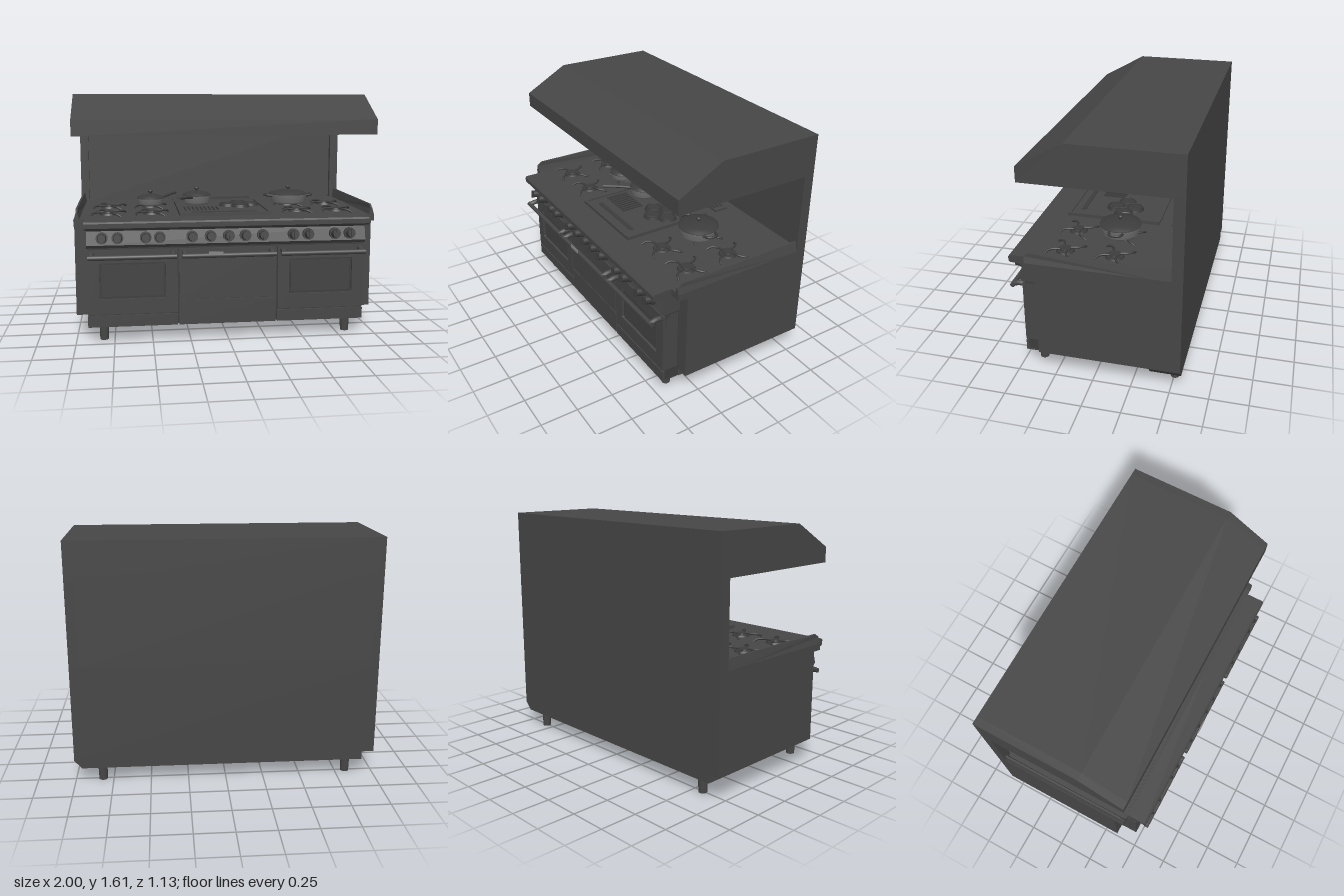
import * as THREE from 'three';

export function createModel() {
  const root = new THREE.Group();
  root.name = 'rangeCookerWithHood';
  const mat = (name, color) => {
    const m = new THREE.MeshStandardMaterial({ color });
    m.name = name;
    return m;
  };
  const enamel = mat('charcoal enamel', 0x464646);
  const iron = mat('dark iron', 0x3c3c3c);
  const glass = mat('oven glass', 0x424242);
  const steel = mat('pan steel', 0x707070);
  const pale = mat('pale steel', 0x858585);

  const add = (name, geo, m, x = 0, y = 0, z = 0, parent = root) => {
    const mesh = new THREE.Mesh(geo, m);
    mesh.name = name;
    mesh.position.set(x, y, z);
    parent.add(mesh);
    return mesh;
  };
  // Box given by its limits on each axis
  const box = (name, x0, x1, y0, y1, z0, z1, m = enamel, parent = root) =>
    add(name, new THREE.BoxGeometry(x1 - x0, y1 - y0, z1 - z0), m,
      (x0 + x1) / 2, (y0 + y1) / 2, (z0 + z1) / 2, parent);
  const cyl = (r0, r1, h, n = 20) => new THREE.CylinderGeometry(r0, r1, h, n);
  // Side profile of [z, y] points, stretched from x0 to x1
  const profile = (pts, x0, x1) => {
    const shape = new THREE.Shape(pts.map(p => new THREE.Vector2(...p)));
    const g = new THREE.ExtrudeGeometry(shape, { depth: x1 - x0, bevelEnabled: false });
    return g.rotateY(-Math.PI / 2).translate(x1, 0, 0);
  };
  const tube = (pts, r, n = 10) => new THREE.TubeGeometry(
    new THREE.CatmullRomCurve3(pts.map(p => new THREE.Vector3(...p))), n, r, 8);

  // Main cabinet, base and deck
  box('cabinet', -1, 1, 0.16, 0.78, -0.565, 0.355);
  box('base', -0.92, 0.92, 0.105, 0.16, -0.565, 0.355);
  box('deck', -1, 1, 0.765, 0.81, -0.565, 0.42);
  const wedge = new THREE.Shape([[0.92, 0.105], [0.95, 0.105], [1, 0.16], [0.92, 0.16]]
    .map(p => new THREE.Vector2(...p)));
  add('rearCornerWedge', new THREE.ExtrudeGeometry(wedge, { depth: 0.2, bevelEnabled: false }),
    enamel, 0, 0, -0.565);

  // Legs
  for (const x of [-0.82, 0.82]) for (const z of [0.385, -0.505])
    add('leg', cyl(0.031, 0.028, 0.11), enamel, x, 0.055, z);

  // Raised side guards, narrowing towards the top edge
  for (const s of [-1, 1]) {
    const g = profile([[-0.5, 0.8], [0.42, 0.8], [0.42, 0.85], [0.385, 0.875], [-0.5, 0.875]],
      -0.02, 0.02);
    const p = g.attributes.position;
    for (let i = 0; i < p.count; i++) if (p.getY(i) > 0.83) p.setX(i, p.getX(i) * 0.3);
    g.computeVertexNormals();
    add('sideGuard', g, enamel, s * 0.98);
  }

  // Backsplash with side posts
  box('backsplash', -0.94, 0.94, 0.8, 1.4, -0.565, -0.53);
  for (const s of [-1, 1])
    box('backPost', s > 0 ? 0.94 : -1, s > 0 ? 1 : -0.94, 0.8, 1.36, -0.565, -0.495);

  // Hood: hollow middle section with closed ends
  const outer = [[-0.565, 1.345], [-0.565, 1.61], [0.14, 1.61], [0.435, 1.445], [0.435, 1.345]];
  add('hoodBody', profile([...outer, [0.39, 1.345], [0.36, 1.42], [-0.46, 1.42], [-0.495, 1.345]],
    -0.95, 0.95), enamel);
  add('hoodEnd', profile(outer, -1, -0.95), enamel);
  add('hoodEnd', profile(outer, 0.95, 1), enamel);
  for (let k = 0; k < 3; k++) {
    const x = -0.6 + k * 0.6;
    for (let i = 0; i < 12; i++)
      box('filterSlat', x - 0.27, x + 0.27, 1.385, 1.405, -0.4 + i * 0.048, -0.378 + i * 0.048, iron);
    for (const s of [-1, 1])
      box('filterFrame', x + s * 0.28 - 0.012, x + s * 0.28 + 0.012, 1.375, 1.42, -0.42, 0.18, iron);
  }
  for (const x of [-0.75, -0.25, 0.25, 0.75])
    add('hoodLamp', cyl(0.055, 0.045, 0.04), iron, x, 1.4, 0.27);

  // Front ledge and sloping control panel
  add('frontLedge', profile([[0.35, 0.76], [0.54, 0.76], [0.55, 0.77], [0.55, 0.8], [0.54, 0.81],
    [0.35, 0.81]], -0.93, 0.925), enamel);
  add('controlPanel', profile([[0.35, 0.63], [0.475, 0.63], [0.49, 0.65], [0.465, 0.74], [0.5, 0.77],
    [0.35, 0.77]], -0.92, 0.92), enamel);
  for (const x of [-0.82, -0.72, -0.54, -0.45, -0.24, -0.12, 0, 0.11, 0.225, 0.43, 0.53, 0.71, 0.81]) {
    const knob = new THREE.Group();
    knob.name = 'knob';
    knob.position.set(x, 0.695, 0.475);
    knob.rotation.x = Math.PI / 2 - 0.12;
    add('knobRing', cyl(0.038, 0.038, 0.024), iron, 0, 0.012, 0, knob);
    add('knobDial', cyl(0.025, 0.03, 0.05), iron, 0, 0.045, 0, knob);
    add('knobGrip', new THREE.BoxGeometry(0.014, 0.02, 0.055), iron, 0, 0.07, 0, knob);
    root.add(knob);
  }

  // Oven fronts
  const handle = (x0, x1) => {
    const bar = add('handleBar', cyl(0.016, 0.016, x1 - x0, 12), enamel, (x0 + x1) / 2, 0.58, 0.545);
    bar.rotation.z = Math.PI / 2;
    for (const x of [x0 + 0.02, x1 - 0.02])
      add('handleBracket', tube([[x, 0.59, 0.46], [x, 0.592, 0.505], [x, 0.58, 0.55]], 0.018), enamel);
  };
  box('frontCarcass', -0.915, 0.915, 0.11, 0.64, 0.35, 0.455, iron);
  const doors = [[-0.92, -0.335], [0.33, 0.915]];
  for (const [x0, x1] of doors) {
    // Door frame with a bevelled window opening
    const cx = (x0 + x1) / 2, w = 0.215;
    const frame = new THREE.Shape([[x0, 0.19], [x1, 0.19], [x1, 0.615], [x0, 0.615]]
      .map(p => new THREE.Vector2(...p)));
    const hole = new THREE.Path();
    hole.moveTo(cx - w, 0.3).lineTo(cx - w, 0.515)
      .quadraticCurveTo(cx - w, 0.53, cx - w + 0.015, 0.53).lineTo(cx + w - 0.015, 0.53)
      .quadraticCurveTo(cx + w, 0.53, cx + w, 0.515).lineTo(cx + w, 0.305)
      .quadraticCurveTo(cx + w, 0.29, cx + w - 0.015, 0.29).lineTo(cx - w + 0.015, 0.29)
      .quadraticCurveTo(cx - w, 0.29, cx - w, 0.3);
    frame.holes.push(hole);
    add('ovenDoor', new THREE.ExtrudeGeometry(frame, { depth: 0.11, bevelEnabled: false }),
      enamel, 0, 0, 0.362);
    box('ovenWindow', cx - 0.2, cx + 0.2, 0.305, 0.515, 0.455, 0.461, glass);
    box('ovenPlinth', x0, x1, 0.105, 0.18, 0.35, 0.472);
    handle(x0 + 0.01, x1 - 0.01);
  }
  box('middleDrawer', -0.325, 0.32, 0.275, 0.615, 0.36, 0.472);
  box('middlePlinth', -0.325, 0.32, 0.105, 0.268, 0.35, 0.472);
  handle(-0.31, 0.305);
  box('badge', -0.14, -0.045, 0.588, 0.608, 0.558, 0.566, pale);

  // Burners with four curved grate arms
  const burner = (x, z) => {
    const b = new THREE.Group();
    b.name = 'burner';
    b.position.set(x, 0.81, z);
    add('burnerBase', cyl(0.055, 0.06, 0.012), iron, 0, 0.006, 0, b);
    add('burnerCap', cyl(0.032, 0.035, 0.01), iron, 0, 0.016, 0, b);
    for (let i = 0; i < 4; i++) {
      const arm = add('grateArm', tube([[0.035, 0.018, 0], [0.08, 0.018, 0.012], [0.12, 0.014, 0],
        [0.14, 0, -0.02]], 0.007, 8), iron, 0, 0, 0, b);
      arm.rotation.y = i * Math.PI / 2 + 0.5;
    }
    root.add(b);
  };
  for (const x of [-0.78, -0.49, 0.51, 0.79]) for (const z of [0.22, -0.1]) burner(x, z);

  // Central griddle, ribbed grill and rear vent
  box('griddlePlate', -0.31, 0.31, 0.81, 0.822, -0.28, 0.36);
  for (const s of [-1, 1])
    box('griddleRail', s * 0.3 - 0.01, s * 0.3 + 0.01, 0.81, 0.832, -0.28, 0.36);
  box('griddleFrontRail', -0.31, 0.31, 0.81, 0.83, 0.34, 0.36);
  box('griddleSlot', -0.22, 0.22, 0.822, 0.826, 0.26, 0.29, iron);
  for (let i = 0; i < 9; i++)
    box('grillRib', -0.26 + i * 0.028, -0.25 + i * 0.028, 0.82, 0.83, 0.04, 0.2, iron);
  box('rearVent', -0.31, 0.31, 0.81, 0.826, -0.46, -0.36);
  for (let i = 0; i < 3; i++)
    box('ventSlot', -0.28, 0.28, 0.826, 0.83, -0.445 + i * 0.03, -0.43 + i * 0.03, iron);
  for (const [x, z] of [[0.06, 0], [0.14, -0.07], [0.22, -0.01], [0.14, 0.06]]) {
    add('griddleDisc', cyl(0.06, 0.065, 0.018), iron, x, 0.833, z);
    const ring = add('griddleRing', new THREE.TorusGeometry(0.05, 0.005, 6, 20), iron, x, 0.843, z);
    ring.rotation.x = Math.PI / 2;
  }

  // Cooking pots with domed lids
  const pot = (name, x, z, r, y0, y1) => {
    const g = new THREE.Group();
    g.name = name;
    const lathe = pts => new THREE.LatheGeometry(pts.map(p => new THREE.Vector2(...p)), 28);
    add('potWall', lathe([[0, y0], [r * 0.85, y0], [r * 0.96, y0 + 0.012], [r, y1]]), steel, x, 0, z, g);
    add('lid', lathe([[r * 1.04, y1 - 0.003], [r * 1.04, y1 + 0.004], [r * 0.75, y1 + 0.017],
      [r * 0.35, y1 + 0.026], [0, y1 + 0.028]]), iron, x, 0, z, g);
    add('lidStem', cyl(0.007, 0.007, 0.02, 10), iron, x, y1 + 0.034, z, g);
    const ball = add('lidKnob', new THREE.SphereGeometry(0.017, 14, 10), iron, x, y1 + 0.047, z, g);
    ball.scale.y = 0.75;
    root.add(g);
    return g;
  };
  const a = pot('smallSaucepan', -0.49, -0.065, 0.09, 0.832, 0.882);
  add('panHandle', tube([[-0.42, 0.872, -0.115], [-0.37, 0.885, -0.16], [-0.3, 0.9, -0.22]], 0.01),
    iron, 0, 0, 0, a);
  const b = pot('mediumSaucepan', -0.16, -0.055, 0.098, 0.838, 0.9);
  add('panHandle', tube([[-0.2, 0.89, 0.03], [-0.24, 0.9, 0.1], [-0.3, 0.907, 0.21]], 0.01),
    iron, 0, 0, 0, b);
  const c = pot('casserole', 0.51, -0.065, 0.13, 0.832, 0.9);
  for (const s of [-1, 1])
    add('sideHandle', tube([[0.51 + s * 0.12, 0.885, -0.11], [0.51 + s * 0.165, 0.89, -0.095],
      [0.51 + s * 0.165, 0.89, -0.035], [0.51 + s * 0.12, 0.885, -0.02]], 0.009), iron, 0, 0, 0, c);

  return root;
}
